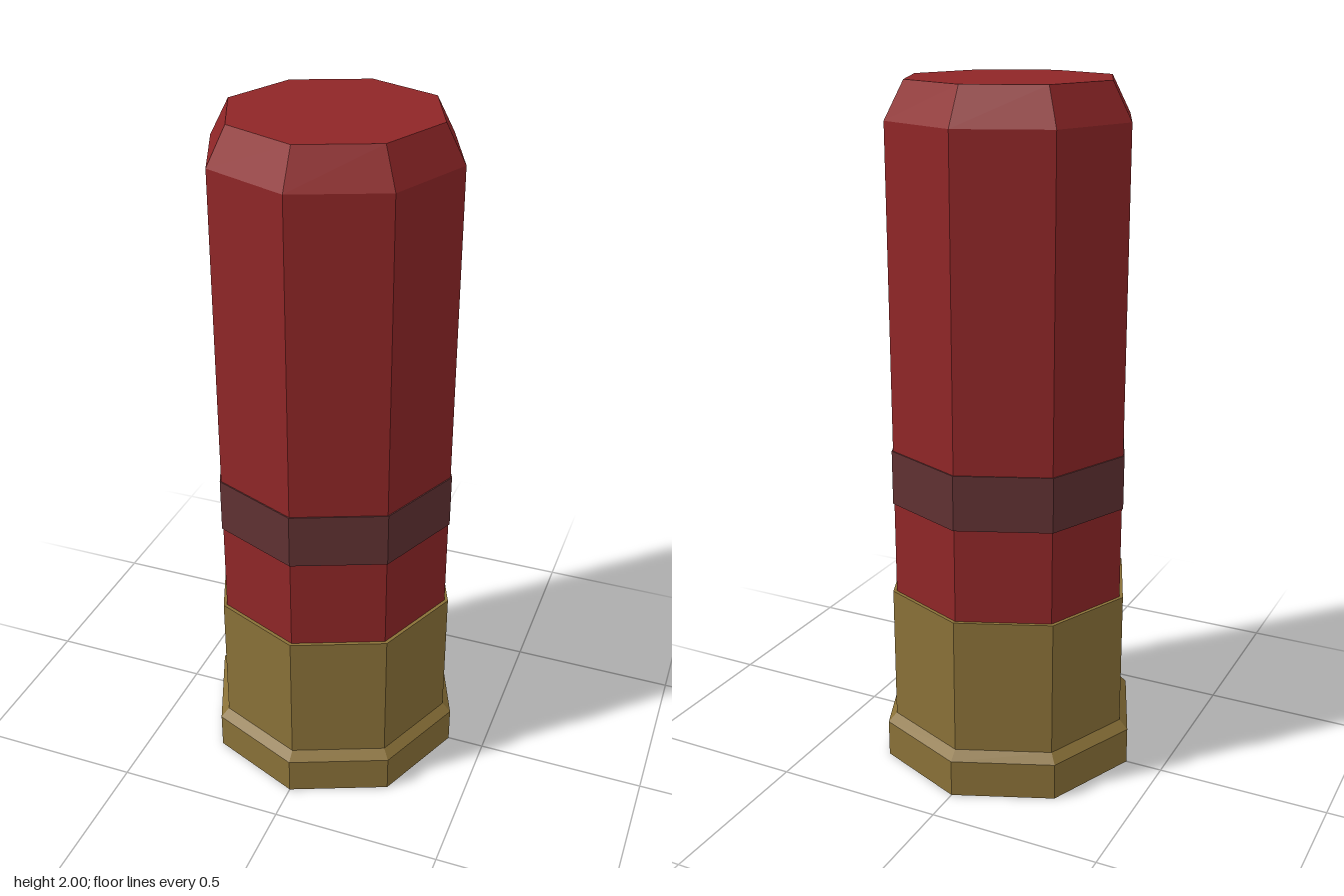
import * as THREE from 'three';

const SIDES = 8;

const material = (name, color) => {
  const m = new THREE.MeshStandardMaterial({ color, flatShading: true });
  m.name = name;
  return m;
};

export function createModel() {
  const red = material('red casing', 0x8f2627);
  const brass = material('brass', 0x8a7138);
  const dark = material('dark red band', 0x603132);

  const group = new THREE.Group();
  group.name = 'cartridge';

  // Octagonal section between two heights, open where it meets a neighbour
  const section = (name, mat, y0, y1, r0, r1 = r0, open = false) => {
    const geometry = new THREE.CylinderGeometry(r1, r0, y1 - y0, SIDES, 1, open);
    const mesh = new THREE.Mesh(geometry, mat);
    mesh.name = name;
    mesh.position.y = (y0 + y1) / 2;
    group.add(mesh);
  };

  // Brass base: rim, sloped shoulder and cup
  section('rim', brass, 0, 0.11, 0.39);
  section('rimShoulder', brass, 0.11, 0.137, 0.39, 0.364, true);
  section('brassCup', brass, 0.137, 0.54, 0.364);

  // Red casing with a chamfered closed end
  section('casing', red, 0.5, 1.895, 0.353, 0.353, true);
  section('casingTip', red, 1.895, 2, 0.353, 0.297);

  // Band around the casing
  section('band', dark, 0.815, 0.975, 0.357);

  return group;
}
